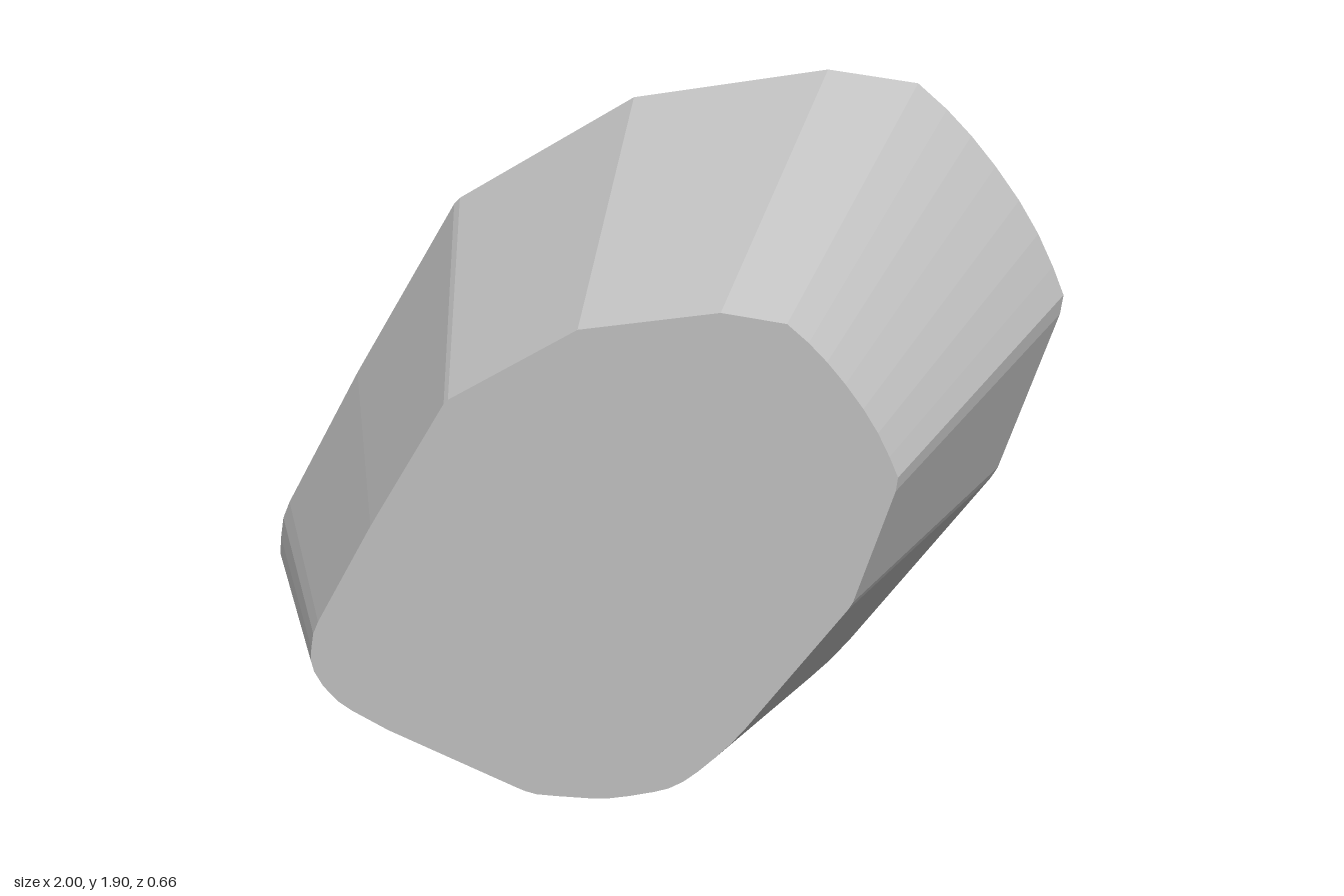
import * as THREE from 'three';

// Back outline, counter-clockwise from the bottom
const OUTLINE = [
  [-0.2, 0], [-0.13, 0.003], [0, 0.012], [0.06, 0.022], [0.13, 0.042], [0.22, 0.073], [0.27, 0.095],
  [0.32, 0.13], [0.37, 0.178], [0.43, 0.245], [0.48, 0.305], [0.53, 0.375],
  [0.86, 0.885], [0.875, 0.915], [0.995, 1.34], [1, 1.39],
  [0.97, 1.46], [0.93, 1.54], [0.88, 1.62], [0.82, 1.7], [0.76, 1.77], [0.7, 1.83], [0.63, 1.888],
  [0.42, 1.905], [-0.04, 1.8], [-0.475, 1.505], [-0.49, 1.488], [-0.76, 1.0],
  [-0.965, 0.6], [-0.985, 0.55], [-0.995, 0.49], [-1, 0.44], [-0.99, 0.395], [-0.96, 0.34],
  [-0.91, 0.285], [-0.86, 0.253], [-0.73, 0.19], [-0.27, 0.017], [-0.24, 0.007],
];
const DEPTH = 0.66;
const TAPER = 0.698;
const CENTRE = { x: 0.017, y: 0.795 };

export function createModel() {
  const group = new THREE.Group();
  group.name = 'taperedStone';

  const grey = new THREE.MeshStandardMaterial({ color: 0xc0c0c0 });
  grey.name = 'stone grey';

  // Straight slab with flat facets
  const shape = new THREE.Shape(OUTLINE.map(([x, y]) => new THREE.Vector2(x, y)));
  const geometry = new THREE.ExtrudeGeometry(shape, { depth: DEPTH, bevelEnabled: false });
  geometry.translate(0, 0, -DEPTH / 2);

  // Shrink the front end towards the taper centre
  const pos = geometry.attributes.position;
  for (let i = 0; i < pos.count; i++) {
    if (pos.getZ(i) > 0) {
      pos.setX(i, CENTRE.x + (pos.getX(i) - CENTRE.x) * TAPER);
      pos.setY(i, CENTRE.y + (pos.getY(i) - CENTRE.y) * TAPER);
    }
  }
  geometry.computeVertexNormals();

  const body = new THREE.Mesh(geometry, grey);
  body.name = 'stoneBody';
  group.add(body);
  return group;
}
